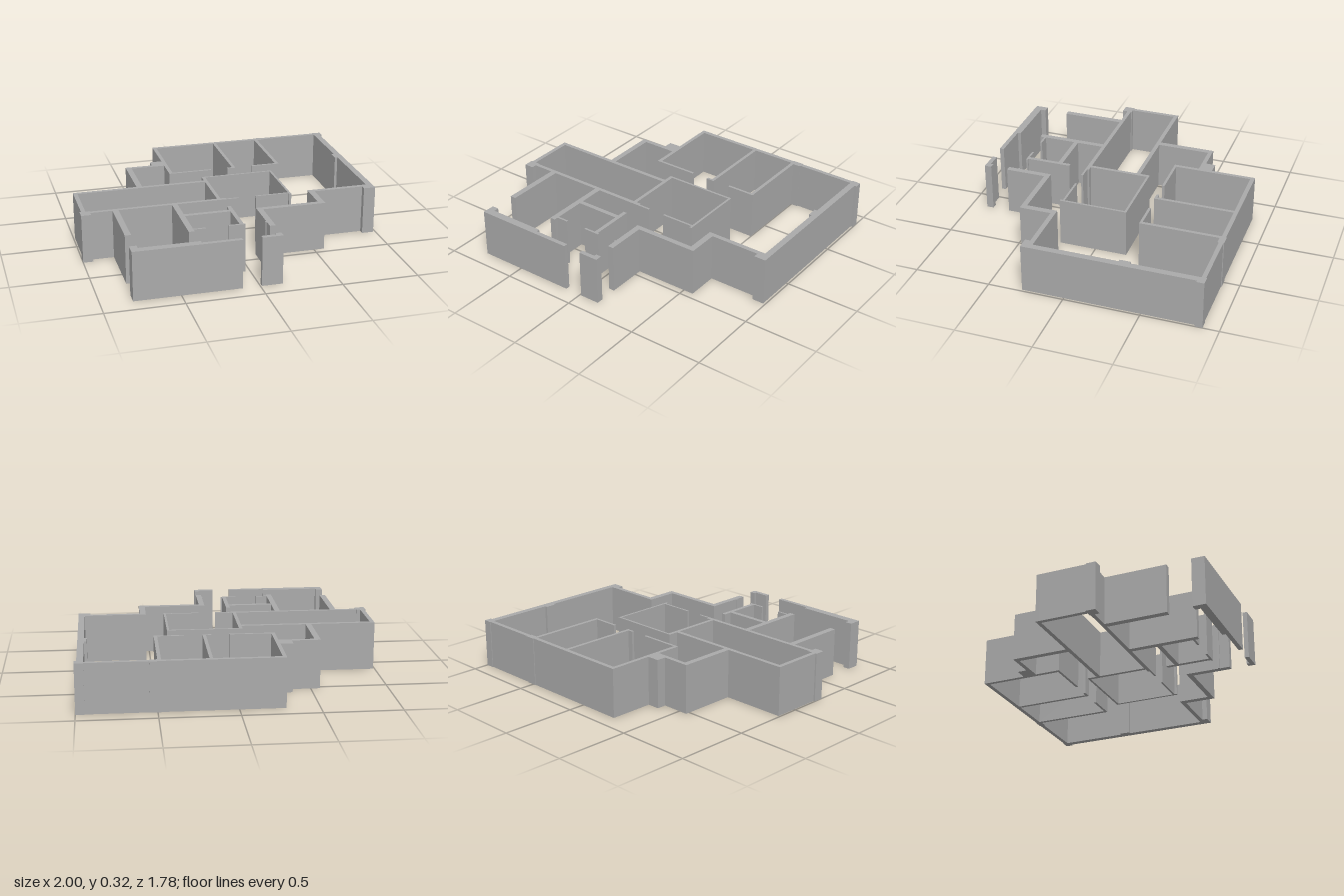
import * as THREE from 'three';

const HEIGHT = 0.325;

export function createModel() {
  const model = new THREE.Group();
  model.name = 'floorPlanWalls';
  const plaster = new THREE.MeshStandardMaterial({ color: 0xaaaaaa });
  plaster.name = 'grey plaster';

  // Each wall stands on the ground and is given by its plan: x0, x1, z0, z1
  const addWalls = (groupName, partName, plans) => {
    const group = new THREE.Group();
    group.name = groupName;
    for (const [x0, x1, z0, z1] of plans) {
      const wall = new THREE.Mesh(new THREE.BoxGeometry(x1 - x0, HEIGHT, z1 - z0), plaster);
      wall.position.set((x0 + x1) / 2, HEIGHT / 2, (z0 + z1) / 2);
      wall.name = partName;
      group.add(wall);
    }
    model.add(group);
  };

  // Outer walls on the back and left side
  addWalls('mainOuterWalls', 'outerWall', [
    [-0.29, 1.0, -0.89, -0.862],
    [0.943, 0.985, -0.89, 0.275],
    [0.527, 0.985, 0.212, 0.243],
    [0.527, 0.568, 0.212, 0.455],
    [0.107, 0.568, 0.42, 0.455],
    [0.107, 0.145, 0.42, 0.725],
    [0.1, 0.11, 0.645, 0.658],
  ]);

  // Outer walls stepping out to the right side
  addWalls('wingOuterWalls', 'outerWall', [
    [-0.29, -0.265, -0.89, -0.33],
    [-0.56, -0.28, -0.528, -0.5],
    [-0.56, -0.522, -0.528, -0.12],
    [-0.99, -0.07, -0.147, -0.12],
    [-0.99, -0.962, -0.147, 0.225],
    [-1.0, -0.035, 0.2, 0.226],
    [-0.1, 0.05, 0.212, 0.226],
  ]);

  // Thicker piers along the outer walls
  addWalls('piers', 'pier', [
    [0.48, 0.548, -0.895, -0.853],
    [0.943, 1.0, -0.895, -0.845],
    [0.925, 0.985, -0.418, -0.345],
    [0.905, 0.985, 0.212, 0.278],
    [-0.373, -0.28, -0.592, -0.5],
    [-1.0, -0.935, 0.193, 0.26],
  ]);

  // Partitions and door returns of the back rooms
  addWalls('backRoomWalls', 'partition', [
    [-0.29, 0.008, -0.347, -0.33],
    [0.16, 0.182, -0.87, -0.33],
    [0.125, 0.182, -0.347, -0.33],
    [0.475, 0.498, -0.87, -0.33],
    [0.303, 0.498, -0.347, -0.33],
  ]);

  // Central room
  addWalls('centralRoomWalls', 'partition', [
    [-0.093, -0.07, -0.213, 0.212],
    [-0.093, 0.405, -0.213, -0.198],
    [0.39, 0.405, -0.213, 0.243],
    [0.165, 0.405, 0.212, 0.226],
  ]);

  // Partitions of the front rooms
  addWalls('frontRoomWalls', 'partition', [
    [-0.793, -0.753, 0.212, 0.638],
    [-0.402, -0.365, 0.212, 0.686],
    [-0.39, -0.05, 0.402, 0.433],
    [-0.066, -0.04, 0.345, 0.655],
    [-0.14, -0.03, 0.644, 0.658],
    [-0.37, -0.287, 0.644, 0.658],
  ]);

  // Detached front walls either side of the entrance
  addWalls('frontWalls', 'frontWall', [
    [-0.8, -0.753, 0.803, 0.889],
    [-0.8, -0.365, 0.838, 0.889],
    [-0.37, -0.112, 0.86, 0.889],
    [0.01, 0.145, 0.86, 0.889],
    [0.107, 0.145, 0.842, 0.889],
  ]);

  return model;
}
